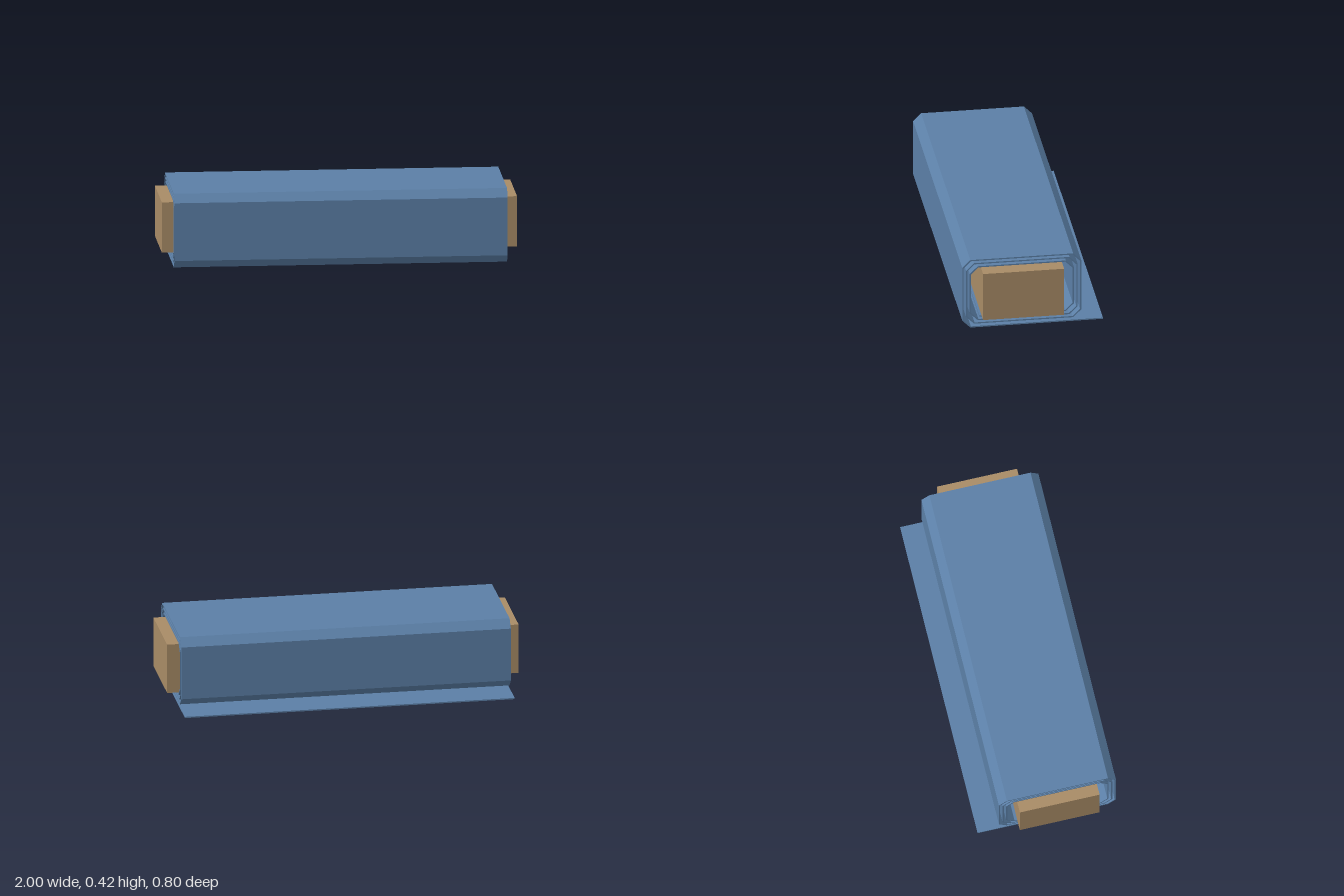
import * as THREE from 'three';

const SHEET_LENGTH = 1.876, THICKNESS = 0.0075, CHAMFER = 0.0435;

// Centre line of the sheet's cross-section as (z, y): a rectangular spiral with cut corners.
function spiralPath() {
  const corners = [[-0.399, 0.00375]];
  const bottoms = [0.00375, 0.0265, 0.047, 0.0685];
  for (let i = 0; i < 3; i++) {
    const front = 0.395 - i * 0.021, top = 0.4185 - i * 0.0208, back = -0.272 + i * 0.0207;
    corners.push([front, bottoms[i]], [front, top], [back, top], [back, bottoms[i + 1]]);
  }
  corners.push([0.302, bottoms[3]]);

  const pts = corners.map(([z, y]) => new THREE.Vector2(z, y));
  const path = [pts[0]];
  for (let i = 1; i < pts.length - 1; i++) {
    for (const next of [pts[i - 1], pts[i + 1]]) {
      path.push(next.clone().sub(pts[i]).setLength(CHAMFER).add(pts[i]));
    }
  }
  path.push(pts[pts.length - 1]);
  return path;
}

// Offset a polyline sideways with mitred corners.
function offsetPath(path, d) {
  const normals = path.slice(1).map((p, i) => {
    const t = p.clone().sub(path[i]).normalize();
    return new THREE.Vector2(-t.y, t.x);
  });
  return path.map((p, i) => {
    const a = normals[Math.max(i - 1, 0)], b = normals[Math.min(i, normals.length - 1)];
    const m = a.clone().add(b).normalize();
    return p.clone().addScaledVector(m, d / m.dot(a));
  });
}

export function createModel() {
  const group = new THREE.Group();

  // Sheet wound around the core, with a loose flap at the back
  const path = spiralPath();
  const outline = [
    ...offsetPath(path, -THICKNESS / 2),
    ...offsetPath(path, THICKNESS / 2).reverse(),
  ];
  const sheetGeometry = new THREE.ExtrudeGeometry(new THREE.Shape(outline), {
    depth: SHEET_LENGTH, bevelEnabled: false,
  });
  sheetGeometry.translate(0, 0, -SHEET_LENGTH / 2).rotateY(-Math.PI / 2);
  const sheet = new THREE.Mesh(sheetGeometry,
    new THREE.MeshStandardMaterial({ color: 0x5b7fa6, flatShading: true }));
  sheet.name = 'wrappedSheet';
  group.add(sheet);

  // Solid block inside, sticking out at both ends
  const core = new THREE.Mesh(new THREE.BoxGeometry(2, 0.288, 0.46),
    new THREE.MeshStandardMaterial({ color: 0xa88b66, flatShading: true }));
  core.position.set(0, 0.2165, 0.06);
  core.name = 'coreBlock';
  group.add(core);

  return group;
}
